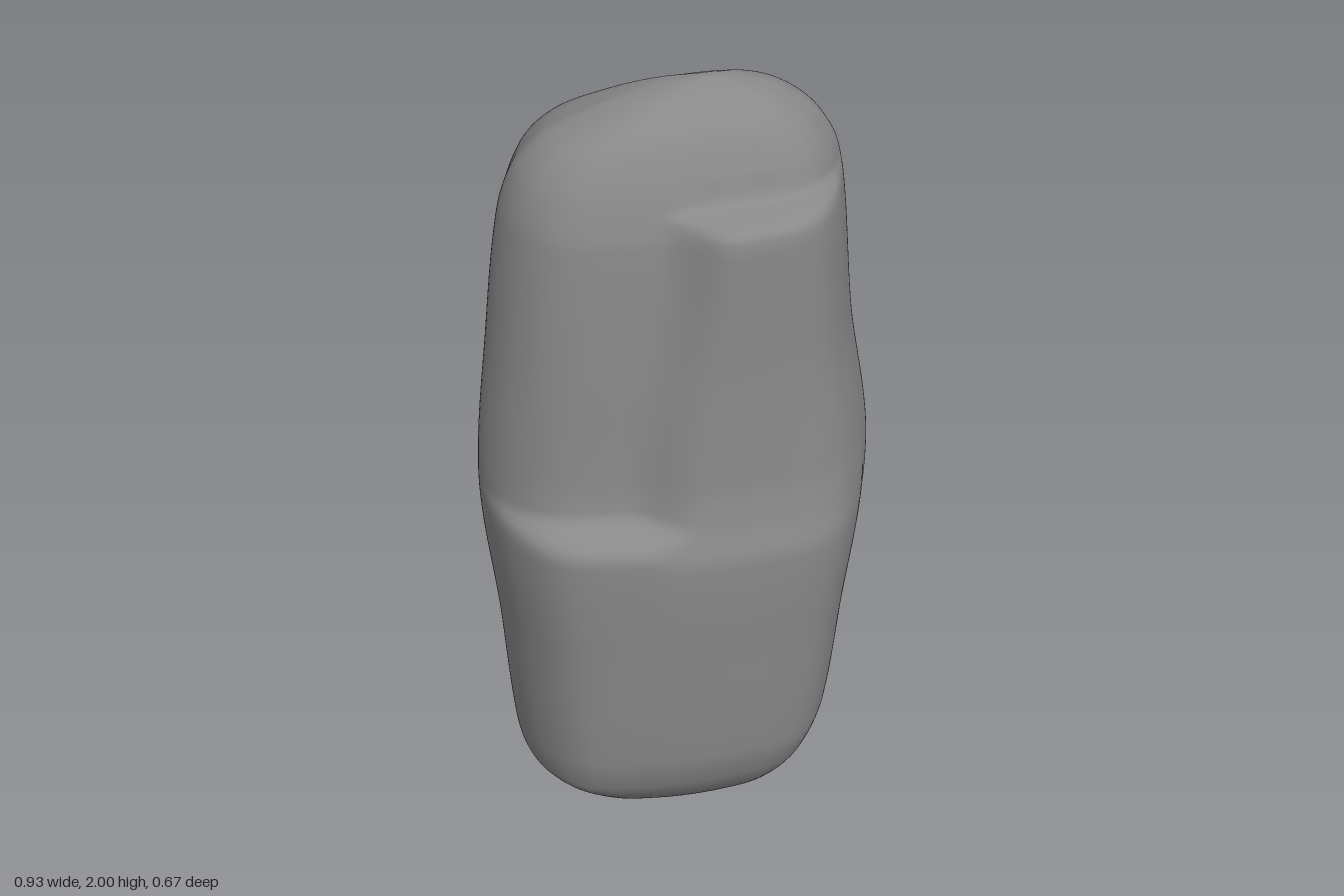
import * as THREE from 'three';

// Silhouette curves as [height, value] pairs
const rightEdge = [[0, -.03], [.01, -.1], [.03, -.16], [.1, -.285], [.2, -.39], [.3, -.406], [.6, -.43], [1, -.467],
  [1.4, -.435], [1.7, -.4], [1.8, -.37], [1.88, -.31], [1.95, -.17], [1.985, -.05], [2, .05]];
const leftEdge = [[0, .06], [.01, .14], [.03, .2], [.1, .285], [.2, .352], [.3, .385], [.6, .42], [1, .462],
  [1.4, .41], [1.7, .385], [1.8, .37], [1.88, .33], [1.95, .25], [1.985, .17], [2, .1]];
// Front depth: recessed on the right above the ledge, raised panel on the left
const frontRecess = [[0, .03], [.02, .08], [.05, .14], [.1, .2], [.2, .268], [.3, .297], [.6, .32], [.94, .337],
  [.975, .32], [1.01, .25], [1.1, .237], [1.4, .228], [1.7, .213], [1.78, .195], [1.85, .17], [1.93, .127], [1.98, .065], [2, .01]];
const frontPanel = [[0, .03], [.02, .08], [.05, .14], [.1, .2], [.2, .268], [.3, .297], [.6, .32], [.9, .334],
  [1, .311], [1.1, .296], [1.4, .289], [1.7, .294], [1.74, .29], [1.765, .265], [1.78, .2], [1.85, .17], [1.93, .127], [1.98, .065], [2, .01]];
// Back depth: thick slab on the right, stepped in on the left
const backSlab = [[0, 0], [.02, -.035], [.05, -.068], [.1, -.105], [.2, -.165], [.36, -.258], [.6, -.287], [1, -.337],
  [1.4, -.32], [1.7, -.287], [1.78, -.25], [1.85, -.2], [1.93, -.115], [1.98, -.05], [2, -.01]];
const backStep = [[0, 0], [.02, -.035], [.05, -.068], [.1, -.105], [.2, -.155], [.36, -.185], [.6, -.21], [1, -.25],
  [1.4, -.235], [1.75, -.195], [1.85, -.17], [1.93, -.11], [1.98, -.05], [2, -.01]];
const stepX = [[0, -.14], [.2, -.1], [.36, -.03], [.6, .06], [1, .14], [2, .14]];
const panelX = [[0, -.06], [1, -.08], [1.75, 0], [2, 0]];

// Smooth curve lookup that never overshoots its points
function at(curve, y) {
  let i = 1;
  while (i < curve.length - 1 && curve[i][0] < y) i++;
  const slope = k => (curve[k][1] - curve[k - 1][1]) / (curve[k][0] - curve[k - 1][0]);
  const tangent = k => {
    if (k === 0) return slope(1);
    if (k === curve.length - 1) return slope(k);
    const a = slope(k), b = slope(k + 1);
    return a * b > 0 ? 2 * a * b / (a + b) : 0;
  };
  const [y0, v0] = curve[i - 1], [y1, v1] = curve[i];
  const h = y1 - y0, t = (y - y0) / h, s = 1 - t;
  return s * s * ((1 + 2 * t) * v0 + t * h * tangent(i - 1)) + t * t * ((1 + 2 * s) * v1 - s * h * tangent(i));
}

// Rounded block outline shared by every level, scaled to the silhouette
const outline = new THREE.CatmullRomCurve3([
  [1, 0], [.95, .27], [.88, .52], [.74, .79], [.58, .91], [.3, .975], [0, 1], [-.3, .98], [-.68, .87], [-.9, .54],
  [-1, 0], [-.95, -.28], [-.82, -.74], [-.68, -.91], [-.35, -.95], [0, -1], [.3, -1], [.55, -.95], [.78, -.85], [.93, -.58],
].map(([x, z]) => new THREE.Vector3(x, 0, z)), true);

function boulderGeometry(around = 150, rows = 220) {
  const ring = outline.getSpacedPoints(around).slice(0, around);
  const pos = [], index = [];
  for (let r = 0; r <= rows; r++) {
    const y = 1 - Math.cos(Math.PI * r / rows);
    const x0 = at(rightEdge, y), x1 = at(leftEdge, y);
    const fr = at(frontRecess, y), fp = at(frontPanel, y);
    const bs = at(backSlab, y), bn = at(backStep, y);
    const sx = at(stepX, y), px = at(panelX, y);
    for (const p of ring) {
      const x = (x0 + x1) / 2 + p.x * (x1 - x0) / 2;
      const depth = p.z > 0
        ? THREE.MathUtils.lerp(fr, fp, THREE.MathUtils.smoothstep(x, px - .08, px + .08))
        : -THREE.MathUtils.lerp(bs, bn, THREE.MathUtils.smoothstep(x, sx - .07, sx + .05));
      pos.push(x, y, p.z * depth);
    }
  }
  for (let r = 0; r < rows; r++) {
    for (let j = 0; j < around; j++) {
      const k = (j + 1) % around;
      const a = r * around + j, b = r * around + k, c = a + around, d = b + around;
      index.push(a, c, b, b, c, d);
    }
  }
  // Close the two ends
  const bottom = pos.length / 3, top = bottom + 1, last = rows * around;
  pos.push(.015, 0, .01, .075, 2, 0);
  for (let j = 0; j < around; j++) {
    const k = (j + 1) % around;
    index.push(bottom, j, k, top, last + k, last + j);
  }
  const geo = new THREE.BufferGeometry();
  geo.setAttribute('position', new THREE.Float32BufferAttribute(pos, 3));
  geo.setIndex(index);
  geo.computeVertexNormals();
  return geo;
}

export function createModel() {
  const group = new THREE.Group();
  group.name = 'standingStone';
  const stone = new THREE.Mesh(boulderGeometry(), new THREE.MeshStandardMaterial({ color: 0x898989 }));
  stone.name = 'boulder';
  group.add(stone);
  return group;
}
